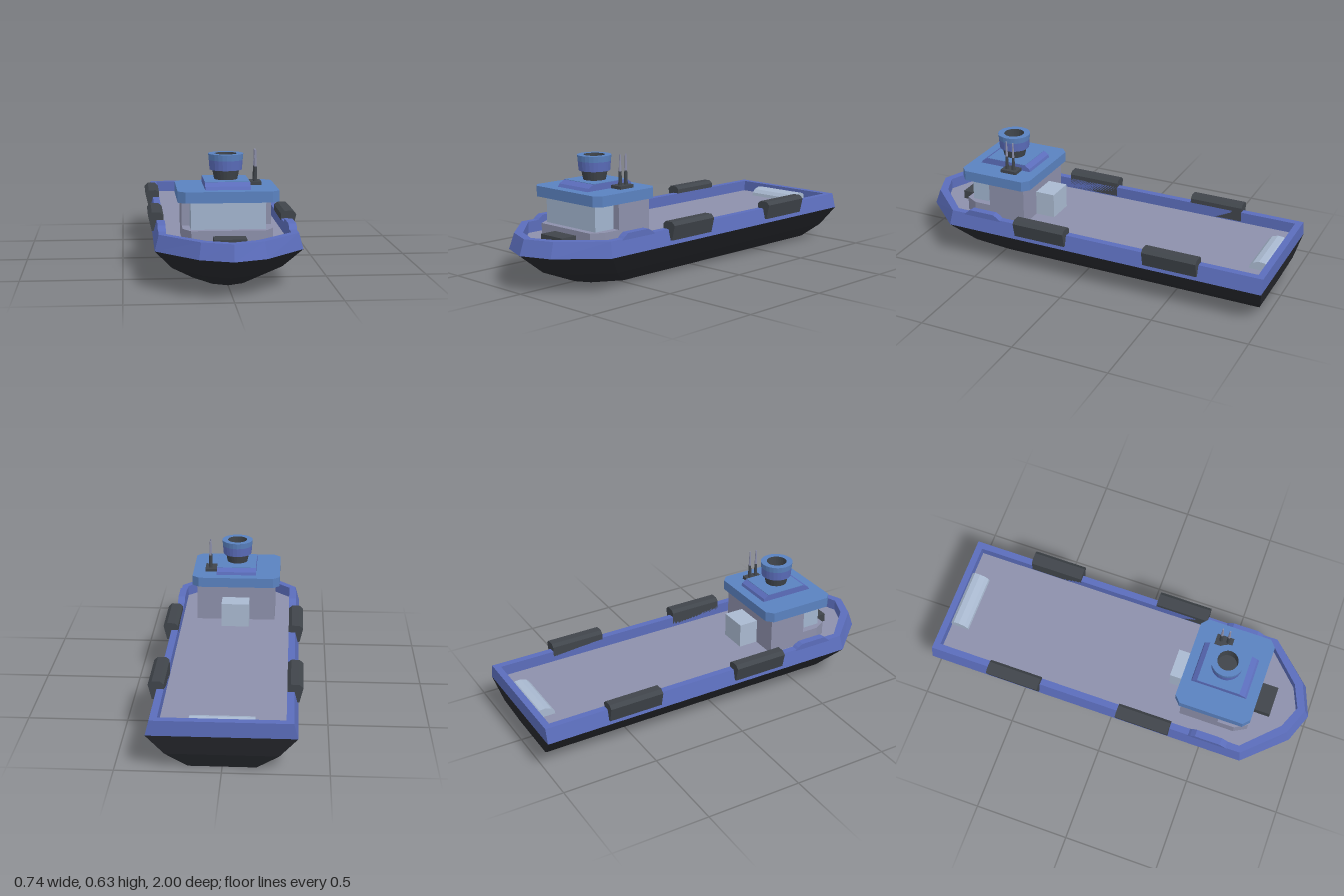
import * as THREE from 'three';

const material = (name, color) => {
  const m = new THREE.MeshStandardMaterial({ color, flatShading: true });
  m.name = name;
  return m;
};

// Closed rings of [x, y, z] points joined by quads, with optional end caps
function loft(rings, capFirst, capLast) {
  const v = [];
  const n = rings[0].length;
  const tri = (a, b, c) => v.push(...a, ...b, ...c);
  for (let r = 0; r < rings.length - 1; r++) {
    for (let i = 0; i < n; i++) {
      const j = (i + 1) % n;
      const [lo, hi] = [rings[r], rings[r + 1]];
      tri(lo[i], hi[i], lo[j]);
      tri(lo[j], hi[i], hi[j]);
    }
  }
  const last = rings[rings.length - 1];
  for (let i = 1; i < n - 1; i++) {
    if (capFirst) tri(rings[0][0], rings[0][i], rings[0][i + 1]);
    if (capLast) tri(last[0], last[i + 1], last[i]);
  }
  const g = new THREE.BufferGeometry();
  g.setAttribute('position', new THREE.Float32BufferAttribute(v, 3));
  g.computeVertexNormals();
  return g;
}

// Symmetrical plan ring from stern to bow, given the +x half as [x, z] points
function ring(y, half) {
  const mirrored = half.filter(p => p[0] > 0).reverse().map(([x, z]) => [-x, z]);
  return [...half, ...mirrored].map(([x, z]) => [x, y, z]);
}
const prism = (half, y0, y1) => loft([ring(y0, half), ring(y1, half)], true, true);

// Profile extruded to a given depth, centred on its extrusion axis
function extrude(points, depth) {
  const shape = new THREE.Shape(points.map(p => new THREE.Vector2(...p)));
  return new THREE.ExtrudeGeometry(shape, { depth, bevelEnabled: false }).translate(0, 0, -depth / 2);
}
// Profile given as [z, y], extruded across the beam
const acrossX = (points, width) => extrude(points, width).rotateY(-Math.PI / 2);

const box = (x0, x1, y0, y1, z0, z1) =>
  new THREE.BoxGeometry(x1 - x0, y1 - y0, z1 - z0)
    .translate((x0 + x1) / 2, (y0 + y1) / 2, (z0 + z1) / 2);

export function createModel() {
  const group = new THREE.Group();
  const blue = material('hull blue', 0x5b6dbb);
  const roofBlue = material('roof blue', 0x5a82c0);
  const black = material('lower hull black', 0x26282d);
  const dark = material('dark grey', 0x40454b);
  const grey = material('deck grey', 0x8d90ab);
  const glass = material('window blue', 0xa2b5cf);
  const pale = material('pale grey', 0xa9b9d0);

  const add = (name, geometry, mat) => {
    const mesh = new THREE.Mesh(geometry, mat);
    mesh.name = name;
    group.add(mesh);
    return mesh;
  };

  // Hull
  const deckY = 0.205;
  const railY = 0.262;
  const keel = ring(0, [[0.16, -0.94], [0.16, 0.48], [0.075, 0.62], [0, 0.66]]);
  const chine = ring(0.08, [[0.265, -0.975], [0.265, 0.62], [0.12, 0.8], [0, 0.86]]);
  const belt = ring(0.185, [[0.35, -1], [0.35, 0.73], [0.155, 0.94], [0, 1]]);
  const rail = ring(railY, [[0.33, -1], [0.33, 0.72], [0.145, 0.915], [0, 0.972]]);
  const inner = [[0.295, -0.965], [0.295, 0.705], [0.12, 0.88], [0, 0.93]];
  add('lowerHull', loft([keel, chine, belt], true, false), black);
  add('bulwark', loft([belt, rail, ring(railY, inner), ring(deckY, inner)]), blue);
  add('deck', loft([ring(deckY - 0.005, inner), ring(deckY, inner)], true, true), grey);

  // Side fenders and raised rail sections
  const fender = [[0.295, 0.21], [0.295, 0.285], [0.312, 0.3], [0.353, 0.3], [0.372, 0.283], [0.354, 0.207]];
  for (const side of [-1, 1]) {
    for (const z of [0.192, -0.528]) {
      const profile = fender.map(([x, y]) => [x * side, y]);
      add('fender', extrude(profile, 0.286), dark).position.z = z;
    }
    const hump = acrossX([[0.43, 0.255], [0.45, 0.272], [0.475, 0.286], [0.61, 0.286], [0.63, 0.272], [0.65, 0.255]], 0.038);
    add('raisedRail', hump, blue).position.x = side * 0.313;
  }

  // Wheelhouse
  add('cabin', box(-0.215, 0.215, deckY, 0.407, 0.355, 0.56), grey);
  add('cabinBase', prism([[0.215, 0.56], [0.215, 0.65], [0.178, 0.715]], deckY, 0.275), grey);
  add('windows', prism([[0.178, 0.56], [0.178, 0.68]], 0.275, 0.407), glass);
  add('roof', prism([[0.205, 0.32], [0.24, 0.352], [0.24, 0.688], [0.205, 0.72]], 0.407, 0.46), roofBlue);
  add('roofPedestal', acrossX([
    [0.37, 0.46], [0.375, 0.475], [0.4, 0.492], [0.625, 0.492], [0.655, 0.475], [0.665, 0.46],
  ], 0.216), blue);
  add('pedestalTop', box(-0.107, 0.107, 0.491, 0.494, 0.4, 0.625), roofBlue);

  // Funnel, open at the top
  const turned = points => new THREE.LatheGeometry(points.map(p => new THREE.Vector2(...p)), 24).translate(0, 0, 0.52);
  add('funnelBase', turned([[0.055, 0.49], [0.066, 0.542]]), dark);
  add('funnel', turned([[0.055, 0.54], [0.078, 0.54], [0.082, 0.587]]), blue);
  add('funnelRim', turned([[0.082, 0.587], [0.085, 0.617], [0.053, 0.617]]), roofBlue);
  add('funnelInside', turned([[0.053, 0.617], [0.05, 0.56], [0, 0.56]]), dark);

  // Aerials
  add('aerialBase', box(0.107, 0.174, 0.46, 0.476, 0.42, 0.51), dark);
  for (const z of [0.447, 0.485]) {
    add('aerialFoot', new THREE.CylinderGeometry(0.007, 0.01, 0.07, 8), dark).position.set(0.147, 0.511, z);
    add('aerial', new THREE.CylinderGeometry(0.004, 0.007, 0.082, 8), grey).position.set(0.147, 0.587, z);
  }

  // Deck fittings
  add('bowWinch', box(-0.077, 0.077, deckY, 0.25, 0.715, 0.805), dark);
  add('rearLocker', box(-0.075, 0.075, deckY, 0.335, 0.25, 0.356), pale);
  add('sternRoller', acrossX([
    [-0.965, deckY], [-0.965, 0.235], [-0.95, 0.248], [-0.92, 0.25], [-0.89, 0.24], [-0.873, 0.222], [-0.87, deckY],
  ], 0.305), pale);

  return group;
}
